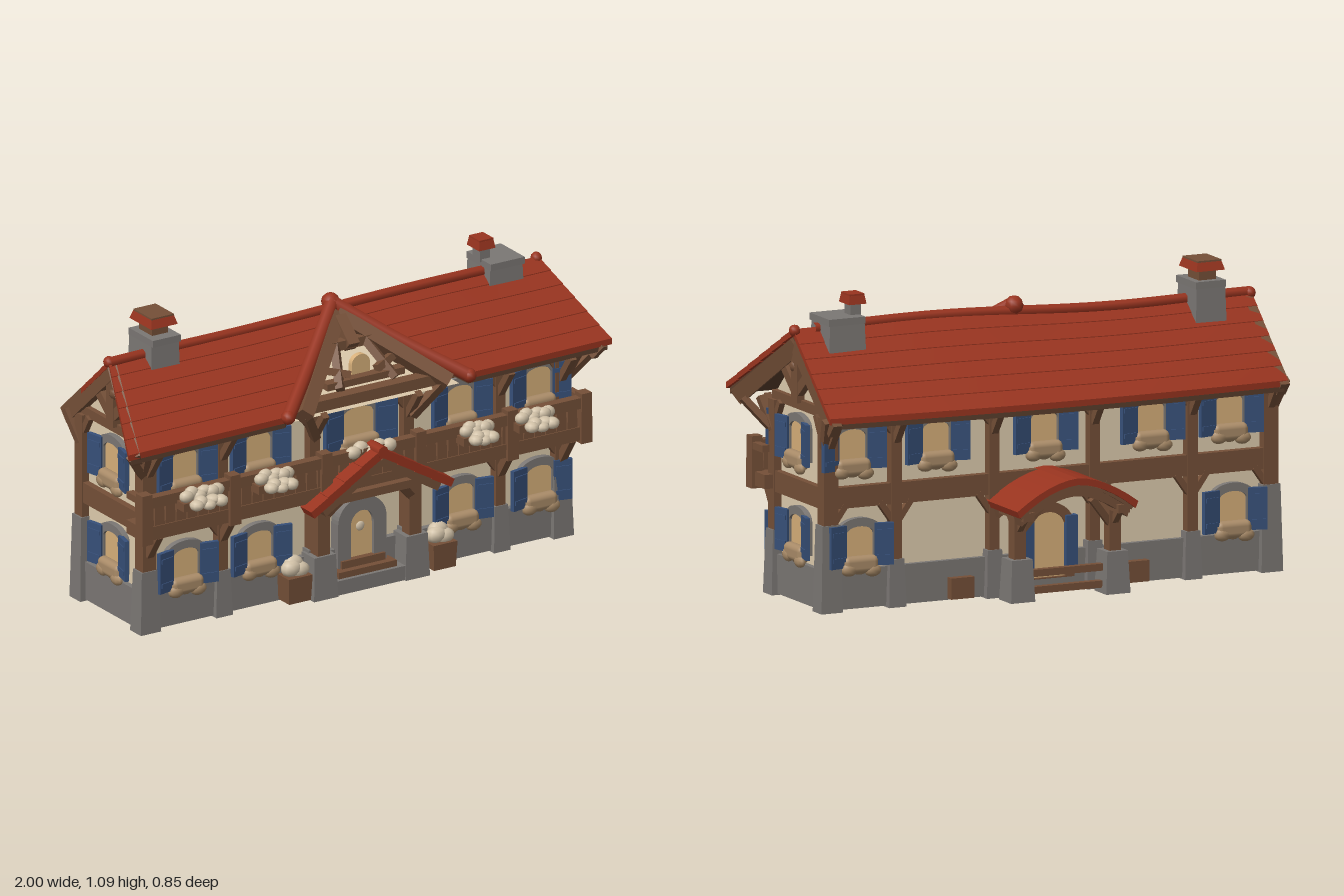
import * as THREE from 'three';
import { RoundedBoxGeometry } from 'three/addons/geometries/RoundedBoxGeometry.js';

const M = {};
for (const [name, hex] of Object.entries({
  roofRed: 0x99341f, timber: 0x755038, darkTimber: 0x5a3e2c, stone: 0x7b7774, plaster: 0xdfcdae,
  shutterBlue: 0x375079, paneTan: 0xd8b07a, sack: 0xa98b68, blossom: 0xd2c2a8,
})) { M[name] = new THREE.MeshStandardMaterial({ color: hex }); M[name].name = name; }
M.plaster.side = THREE.DoubleSide;

const lerp = THREE.MathUtils.lerp;
const V = (x, y, z) => new THREE.Vector3(x, y, z);

function add(parent, name, geo, mat, x = 0, y = 0, z = 0) {
  const m = new THREE.Mesh(geo, mat);
  m.name = name; m.position.set(x, y, z); parent.add(m);
  return m;
}
// box given by its limits, with an optional narrower top
function block(p, name, mat, x0, x1, y0, y1, z0, z1, taper = 1) {
  const g = new THREE.BoxGeometry(x1 - x0, y1 - y0, z1 - z0), a = g.attributes.position;
  for (let i = 0; i < a.count; i++) if (a.getY(i) > 0) { a.setX(i, a.getX(i) * taper); a.setZ(i, a.getZ(i) * taper); }
  g.computeVertexNormals();
  return add(p, name, g, mat, (x0 + x1) / 2, (y0 + y1) / 2, (z0 + z1) / 2);
}
// straight bar between two points
function beam(p, name, mat, a, b, w = 0.03, d = w) {
  const dir = b.clone().sub(a), m = add(p, name, new THREE.BoxGeometry(w, dir.length(), d), mat);
  m.position.copy(a).add(b).multiplyScalar(0.5);
  m.quaternion.setFromUnitVectors(V(0, 1, 0), dir.normalize());
  return m;
}
// row of rounded lumps
function lumps(p, name, mat, x, y, z, width, r, n, depth = 0.85) {
  for (let i = 0; i < n; i++) {
    const m = add(p, name, new THREE.SphereGeometry(r, 9, 7), mat,
      x + (i / (n - 1) - 0.5) * (width - 2 * r), y + 0.3 * r * Math.sin(i * 2.4), z + 0.25 * r * depth * Math.cos(i * 3.1));
    m.scale.set(1.2, 0.9 + 0.15 * Math.sin(i * 1.7), depth);
  }
}
// arch outline standing on y = 0, rise = height of the curved top
function archPath(P, w, h, rise) {
  const s = new P();
  s.moveTo(-w / 2, 0); s.lineTo(w / 2, 0); s.lineTo(w / 2, h - rise);
  s.absellipse(0, h - rise, w / 2, rise, 0, Math.PI, false);
  s.lineTo(-w / 2, 0);
  return s;
}
function arch(p, name, mat, w, h, rise, depth, x, y, z, cut = 0) {
  const s = archPath(THREE.Shape, w, h, rise);
  if (cut) s.holes.push(new THREE.Path(archPath(THREE.Path, w - 2 * cut, h - cut - 0.004, rise * 0.6).getPoints(10).map(q => q.setY(q.y + 0.004))));
  return add(p, name, new THREE.ExtrudeGeometry(s, { depth, bevelEnabled: false, curveSegments: 10 }), mat, x, y, z);
}

// shuttered window facing +z, origin at the shutter centre
function shutterWindow(p, x, y, z, ry = 0, stretch = 1) {
  const g = new THREE.Group(); g.name = 'window'; g.position.set(x, y, z); g.rotation.y = ry; g.scale.x = stretch; p.add(g);
  arch(g, 'windowSurround', M.stone, 0.165, 0.165, 0.045, 0.022, 0, -0.068, 0, 0.03);
  arch(g, 'windowPane', M.paneTan, 0.115, 0.136, 0.02, 0.009, 0, -0.065, 0.004);
  for (const s of [-1, 1]) {
    const sh = block(g, 'shutter', M.shutterBlue, -0.034, 0.034, -0.075, 0.075, -0.008, 0.008);
    sh.position.set(s * 0.09, 0, 0.03); sh.rotation.y = s * -0.22;
    for (const yy of [-0.045, 0.045]) block(sh, 'shutterBatten', M.shutterBlue, -0.028, 0.028, yy - 0.008, yy + 0.008, 0.007, 0.012);
  }
  add(g, 'sillSack', new RoundedBoxGeometry(0.135, 0.062, 0.044, 3, 0.02), M.sack, 0, -0.068, 0.022);
  lumps(g, 'sillSack', M.sack, 0, -0.082, 0.026, 0.145, 0.027, 3, 0.65);
}

// main roof: t runs from ridge (0) to eave (1)
const ridgeY = x => 0.962 + 0.016 * x + 0.006 * Math.sin(x * 5);
function roofSlab(p, name, mat, front, xa, xb, t0, t1, lift0, lift1, thick) {
  const g = new THREE.BoxGeometry(1, 1, 1, 14, 1, 1), a = g.attributes.position;
  for (let i = 0; i < a.count; i++) {
    const v = front ? a.getZ(i) + 0.5 : 0.5 - a.getZ(i), t = lerp(t0, t1, v);
    const x = lerp(xa(t), xb(t), a.getX(i) + 0.5);
    const eaveZ = front ? 0.33 : -0.268 - 0.04 * Math.cos(x * 1.7), eaveY = front ? 0.73 : 0.695;
    const y = lerp(ridgeY(x), eaveY + 0.008 * x, t) + lerp(lift0, lift1, v) + (a.getY(i) - 0.5) * thick;
    a.setXYZ(i, x, y, lerp(0.03, eaveZ, t));
  }
  g.computeVertexNormals();
  add(p, name, g, mat);
}

function buildRoof(root) {
  const r = new THREE.Group(); r.name = 'mainRoof'; root.add(r);
  const line = (a, b) => t => lerp(a, b, t);
  const pieces = [[true, line(-0.89, -1.0), line(0.03, -0.34)], [true, line(0.03, 0.40), line(0.89, 1.0)], [false, line(-0.89, -0.885), line(0.89, 0.895)]];
  for (const [front, xa, xb] of pieces) {
    const n = 6;
    for (let i = 0; i < n; i++) roofSlab(r, 'tileCourse', M.roofRed, front, xa, xb, i / n, (i + 1.04) / n, 0.01, 0.013, 0.022);
    roofSlab(r, 'roofSoffit', M.darkTimber, front, t => xa(t) + 0.012, t => xb(t) - 0.012, 0.01, 0.99, -0.012, -0.01, 0.022);
  }
  const pts = []; for (let x = -0.89; x <= 0.9; x += 0.1) pts.push(V(x, ridgeY(x) + 0.006, 0.03 + 0.008 * Math.sin(x * 4)));
  add(r, 'ridgeTiles', new THREE.TubeGeometry(new THREE.CatmullRomCurve3(pts), 40, 0.02, 7), M.roofRed);
  for (const x of [-0.885, 0.885]) add(r, 'ridgeEnd', new THREE.SphereGeometry(0.021, 8, 6), M.roofRed, x, ridgeY(x) + 0.005, 0.026);
  // open front gable leaning back to the ridge
  const g = new THREE.Group(); g.name = 'frontGable'; root.add(g);
  const tri = new THREE.BufferGeometry();
  tri.setAttribute('position', new THREE.Float32BufferAttribute([-0.33, 0.70, 0.30, 0.39, 0.70, 0.30, 0.03, 0.945, 0.02], 3));
  tri.computeVertexNormals();
  add(g, 'gablePanel', tri, M.plaster);
  for (const s of [-1, 1]) {
    const foot = V(0.03 + s * 0.375, 0.74, 0.34), top = V(0.03, 0.995, 0.04);
    const tube = new THREE.CatmullRomCurve3([top, top.clone().lerp(foot, 0.5).add(V(0, -0.008, 0)), foot]);
    add(g, 'gableEdgeTiles', new THREE.TubeGeometry(tube, 12, 0.025, 7), M.roofRed);
    add(g, 'gableEdgeEnd', new THREE.SphereGeometry(0.026, 8, 6), M.roofRed, foot.x, foot.y, foot.z);
    beam(g, 'gableRafter', M.timber, V(0.03, 0.95, 0.06), V(0.03 + s * 0.30, 0.72, 0.32), 0.065, 0.05);
    beam(g, 'gableBrace', M.timber, V(0.03 + s * 0.06, 0.885, 0.15), V(0.03 + s * 0.115, 0.765, 0.27), 0.028);
    beam(g, 'gableStrut', M.timber, V(0.03 + s * 0.055, 0.80, 0.24), V(0.03 + s * 0.17, 0.83, 0.2), 0.026);
    beam(g, 'gableFootBrace', M.timber, V(0.025 + s * 0.2, 0.60, 0.25), V(0.03 + s * 0.28, 0.72, 0.31), 0.03);
  }
  add(g, 'gableCap', new THREE.SphereGeometry(0.034, 8, 6), M.roofRed, 0.03, 0.992, 0.03);
  block(g, 'gableTie', M.timber, -0.23, 0.29, 0.715, 0.755, 0.255, 0.305);
  block(g, 'gableUpperTie', M.timber, -0.13, 0.19, 0.765, 0.79, 0.22, 0.26);
  beam(g, 'gableCollar', M.timber, V(-0.08, 0.88, 0.15), V(0.14, 0.88, 0.15), 0.034);
  beam(g, 'gableKingPost', M.timber, V(0.03, 0.95, 0.08), V(0.03, 0.87, 0.17), 0.045);
  arch(g, 'gableWindow', M.paneTan, 0.075, 0.075, 0.035, 0.02, 0.03, 0.785, 0.205);
}

function buildWalls(root) {
  const w = new THREE.Group(); w.name = 'houseBody'; root.add(w);
  const ring = (name, mat, x, y0, y1, zb, zf, t) => {
    block(w, name, mat, -x, x, y0, y1, zf - t, zf);
    block(w, name, mat, -x, x, y0, y1, zb, zb + t);
    for (const s of [-1, 1]) block(w, name, mat, s * x - t / 2 - s * t / 2, s * x + t / 2 - s * t / 2, y0, y1, zb + t, zf - t);
  };
  ring('plasterWall', M.plaster, 0.855, 0.03, 0.72, -0.165, 0.205, 0.02);
  ring('stoneBase', M.stone, 0.875, 0.015, 0.155, -0.185, 0.23, 0.03);
  ring('floorBeam', M.timber, 0.88, 0.375, 0.45, -0.195, 0.235, 0.04);
  ring('roofPlate', M.timber, 0.87, 0.695, 0.73, -0.185, 0.235, 0.04);
  for (const x of [-0.855, -0.55, -0.17, 0.22, 0.6, 0.855]) for (const z of [0.215, -0.175]) {
    const f = Math.sign(z), end = Math.abs(x) > 0.8, c = end ? 0.028 : 0.02;
    block(w, 'wallPost', M.timber, x - c, x + c, 0.15, 0.70, z - 0.025, z + 0.025);
    block(w, 'stoneButtress', M.stone, x - c - 0.014, x + c + 0.014, 0.01, end ? (f > 0 ? 0.24 : 0.32) : 0.18, z - 0.035, z + 0.035, 0.82);
    beam(w, 'eaveBracket', M.timber, V(x, 0.60, z + f * 0.02), V(x, 0.70, z + f * 0.09), 0.025);
    if (f > 0) beam(w, 'balconyBracket', M.timber, V(x, 0.30, z + 0.02), V(x, 0.39, z + 0.08), 0.028);
    for (const s of [-1, 1]) if (Math.abs(x + s * 0.06) < 0.85)
      for (const y of [0.385, 0.7]) beam(w, 'kneeBrace', M.timber, V(x + s * 0.01, y - 0.07, z + f * 0.01), V(x + s * 0.06, y, z + f * 0.01), 0.022);
  }
  // end gables with open trusses
  for (const s of [-1, 1]) {
    const tri = new THREE.Shape([new THREE.Vector2(-0.24, 0.72), new THREE.Vector2(0.19, 0.72), new THREE.Vector2(-0.03, 0.925)]);
    const m = add(w, 'endGableWall', new THREE.ExtrudeGeometry(tri, { depth: 0.03, bevelEnabled: false }), M.plaster, s > 0 ? 0.82 : -0.85);
    m.rotation.y = Math.PI / 2;
    const x = s * 0.87;
    beam(w, 'endRafter', M.timber, V(x, 0.925, 0.03), V(s * 0.96, 0.70, 0.32), 0.034, 0.06);
    beam(w, 'endRafter', M.timber, V(x, 0.925, 0.03), V(x, 0.665, -0.265), 0.034, 0.06);
    beam(w, 'kingPost', M.timber, V(x, 0.72, 0.03), V(x, 0.92, 0.03), 0.03, 0.045);
    add(w, 'kingPostKnob', new THREE.SphereGeometry(0.024, 8, 6), M.timber, x, 0.845, 0.045);
    for (const d of [-1, 1]) {
      beam(w, 'trussStrut', M.timber, V(x, 0.75, 0.03), V(x, 0.835, 0.03 + d * 0.10), 0.025, 0.036);
      beam(w, 'cornerBrace', M.timber, V(x, 0.59, 0.02 + d * 0.2), V(s * 0.89, 0.70, 0.02 + d * 0.26), 0.028);
      beam(w, 'wallBrace', M.timber, V(x, 0.64, 0.02 + d * 0.175), V(x, 0.70, 0.02 + d * 0.14), 0.022);
    }
    beam(w, 'sideEaveBrace', M.timber, V(s * 0.88, 0.6, 0.23), V(s * 0.96, 0.7, 0.28), 0.025);
    for (const y of [0.585, 0.255]) shutterWindow(w, s * 0.855, y, 0.03, s * Math.PI / 2);
  }
  for (const x of [-0.70, -0.395, 0.44, 0.765]) {
    shutterWindow(w, x, 0.59, 0.205);
    shutterWindow(w, x, 0.225, 0.212);
    shutterWindow(w, x, 0.585, -0.165, Math.PI);
  }
  shutterWindow(w, 0.02, 0.60, 0.205, 0, 1.22);
  shutterWindow(w, 0.02, 0.585, -0.165, Math.PI);
  for (const x of [-0.71, 0.74]) shutterWindow(w, x, 0.24, -0.172, Math.PI);
}

function buildBalcony(root) {
  const b = new THREE.Group(); b.name = 'balcony'; root.add(b);
  block(b, 'balconyFloor', M.timber, -0.925, 0.915, 0.385, 0.435, 0.2, 0.31);
  block(b, 'balconyRail', M.timber, -0.93, 0.92, 0.505, 0.545, 0.28, 0.315);
  for (let x = -0.9; x < 0.9; x += 0.045) block(b, 'balusterBoard', M.timber, x - 0.021, x + 0.021, 0.43, 0.51, 0.288, 0.306, 0.86);
  for (const s of [-1, 1]) block(b, 'balconySideRail', M.timber, s * 0.91 - 0.014, s * 0.91 + 0.014, 0.515, 0.54, 0.2, 0.3);
  for (const x of [-0.915, -0.55, -0.17, 0.22, 0.6, 0.905]) block(b, 'railPost', M.timber, x - 0.023, x + 0.023, 0.375, 0.56, 0.275, 0.322, 0.9);
  for (const [x, wd] of [[-0.71, 0.18], [-0.41, 0.16], [0.43, 0.14], [0.67, 0.16]]) {
    block(b, 'flowerBox', M.timber, x - wd / 2 + 0.01, x + wd / 2 - 0.01, 0.485, 0.515, 0.31, 0.36);
    lumps(b, 'balconyFlowers', M.blossom, x, 0.54, 0.35, wd, 0.024, 6);
    lumps(b, 'balconyFlowers', M.blossom, x, 0.517, 0.39, wd * 0.8, 0.022, 5, 1.2);
  }
  lumps(b, 'balconyFlowers', M.blossom, 0.02, 0.535, 0.30, 0.2, 0.026, 5);
}

function buildPorches(root) {
  const f = new THREE.Group(); f.name = 'frontPorch'; root.add(f);
  for (const s of [-1, 1]) {
    const x = 0.025 + s * 0.19;
    for (let i = 0; i < 4; i++) beam(f, 'porchRoofTiles', M.roofRed, V(0.03 + s * 0.07 * i, 0.535 - 0.042 * i, 0.332), V(0.03 + s * (0.07 * i + 0.08), 0.49 - 0.042 * i, 0.332), 0.03, 0.07);
    beam(f, 'porchRafter', M.timber, V(0.03, 0.505, 0.335), V(0.03 + s * 0.24, 0.36, 0.335), 0.035, 0.05);
    block(f, 'porchPost', M.timber, x - 0.025, x + 0.025, 0.15, 0.40, 0.24, 0.29);
    block(f, 'porchPier', M.stone, x - 0.05, x + 0.05, 0.01, 0.17, 0.21, 0.305, 0.88);
    beam(f, 'porchBrace', M.timber, V(x, 0.30, 0.27), V(x - s * 0.08, 0.385, 0.30), 0.028);
    block(f, 'planter', M.timber, 0.03 + s * 0.3 - 0.045, 0.03 + s * 0.3 + 0.045, 0.02, 0.115, 0.215, 0.30, 1.1);
    lumps(f, 'planterFlowers', M.blossom, 0.03 + s * 0.3, 0.14, 0.26, 0.1, 0.034, 3);
  }
  add(f, 'porchRidgeCap', new THREE.CylinderGeometry(0.022, 0.022, 0.08, 8), M.roofRed, 0.03, 0.54, 0.33).rotation.x = Math.PI / 2;
  block(f, 'porchTie', M.timber, -0.15, 0.2, 0.37, 0.4, 0.3, 0.34);
  block(f, 'porchSlab', M.stone, -0.15, 0.2, 0.012, 0.065, 0.2, 0.30);
  block(f, 'doorStep', M.timber, -0.1, 0.14, 0.065, 0.088, 0.21, 0.285);
  block(f, 'doorStep', M.timber, -0.07, 0.11, 0.088, 0.115, 0.21, 0.26);
  arch(f, 'doorSurround', M.stone, 0.2, 0.26, 0.09, 0.05, 0.02, 0.08, 0.2, 0.052);
  arch(f, 'frontDoor', M.paneTan, 0.105, 0.205, 0.055, 0.03, 0.02, 0.09, 0.206);
  add(f, 'doorLight', new THREE.SphereGeometry(0.018, 8, 6), M.blossom, 0.02, 0.225, 0.236).scale.z = 0.4;

  const b = new THREE.Group(); b.name = 'backPorch'; b.position.x = 0.01; root.add(b);
  const vault = (name, mat, w, y, rise, t, z0, z1) => {
    const s = new THREE.Shape();
    s.moveTo(-w, y); s.quadraticCurveTo(-w * 0.45, y + rise * 0.95, 0, y + rise); s.quadraticCurveTo(w * 0.45, y + rise * 0.95, w, y);
    s.lineTo(w - 0.01, y - t); s.quadraticCurveTo(w * 0.45, y + rise * 0.95 - t, 0, y + rise - t); s.quadraticCurveTo(-w * 0.45, y + rise * 0.95 - t, -w + 0.01, y - t);
    s.closePath();
    add(b, name, new THREE.ExtrudeGeometry(s, { depth: z1 - z0, bevelEnabled: false, curveSegments: 6 }), mat, 0, 0, z0);
  };
  vault('backPorchRoof', M.roofRed, 0.235, 0.355, 0.10, 0.024, -0.43, -0.16);
  vault('backPorchCeiling', M.timber, 0.222, 0.335, 0.095, 0.01, -0.42, -0.16);
  for (const z of [-0.405, -0.23]) vault('backPorchArch', M.timber, 0.215, 0.332, 0.09, 0.035, z, z + 0.048);
  for (const s of [-1, 1]) {
    const x = s * 0.185;
    block(b, 'backPier', M.stone, x - 0.047, x + 0.047, 0.02, 0.17, -0.375, -0.28, 0.85);
    block(b, 'backPost', M.timber, x - 0.022, x + 0.022, 0.16, 0.34, -0.35, -0.305);
    block(b, 'backPlate', M.timber, x - 0.022, x + 0.022, 0.315, 0.345, -0.42, -0.17);
    for (const d of [-1, 1]) beam(b, 'backBrace', M.timber, V(x, 0.26, -0.328), V(x, 0.325, -0.328 + d * 0.06), 0.022);
    beam(b, 'backArchBrace', M.timber, V(x, 0.25, -0.328), V(x - s * 0.09, 0.36, -0.345), 0.024);
    block(b, 'backPlanter', M.timber, s * 0.34 - 0.045, s * 0.34 + 0.045, 0.02, 0.095, -0.215, -0.16);
    block(b, 'backDoorShutter', M.shutterBlue, s * 0.085 - 0.022, s * 0.085 + 0.022, 0.09, 0.28, -0.215, -0.185);
  }
  for (const y of [0.04, 0.1]) block(b, 'backRail', M.timber, -0.15, 0.15, y, y + 0.025, -0.34, -0.315);
  arch(b, 'backDoorSurround', M.timber, 0.2, 0.27, 0.09, 0.04, 0, 0.06, -0.2, 0.035);
  arch(b, 'backDoor', M.paneTan, 0.136, 0.23, 0.06, 0.03, 0, 0.065, -0.192);
}

// stack with a rim, a narrow neck and a hipped cap
function chimney(root, x0, x1, top, cx, cw, cd, capTop, neck, lid) {
  const c = new THREE.Group(); c.name = 'chimney'; root.add(c);
  block(c, 'chimneyStack', M.stone, x0, x1, 0.86, top, -0.065, 0.09, 0.92);
  block(c, 'chimneyRim', M.stone, x0 + 0.002, x1 - 0.002, top - 0.025, top, -0.06, 0.095);
  block(c, 'chimneyNeck', neck, cx - cw * 0.6, cx + cw * 0.6, top - 0.01, capTop - 0.032, 0.01 - cd * 0.6, 0.01 + cd * 0.6);
  block(c, 'chimneyCap', M.roofRed, cx - cw, cx + cw, capTop - 0.036, capTop - 0.006, 0.01 - cd, 0.01 + cd, 0.85);
  block(c, 'chimneyLid', lid, cx - cw * 0.84, cx + cw * 0.84, capTop - 0.006, capTop, 0.01 - cd * 0.84, 0.01 + cd * 0.84);
}

export function createModel() {
  const root = new THREE.Group(); root.name = 'timberHouse';
  buildWalls(root);
  buildRoof(root);
  buildBalcony(root);
  buildPorches(root);
  chimney(root, -0.75, -0.63, 1.03, -0.69, 0.055, 0.07, 1.102, M.timber, M.timber);
  chimney(root, 0.65, 0.795, 1.02, 0.667, 0.034, 0.04, 1.095, M.stone, M.roofRed);
  return root;
}
